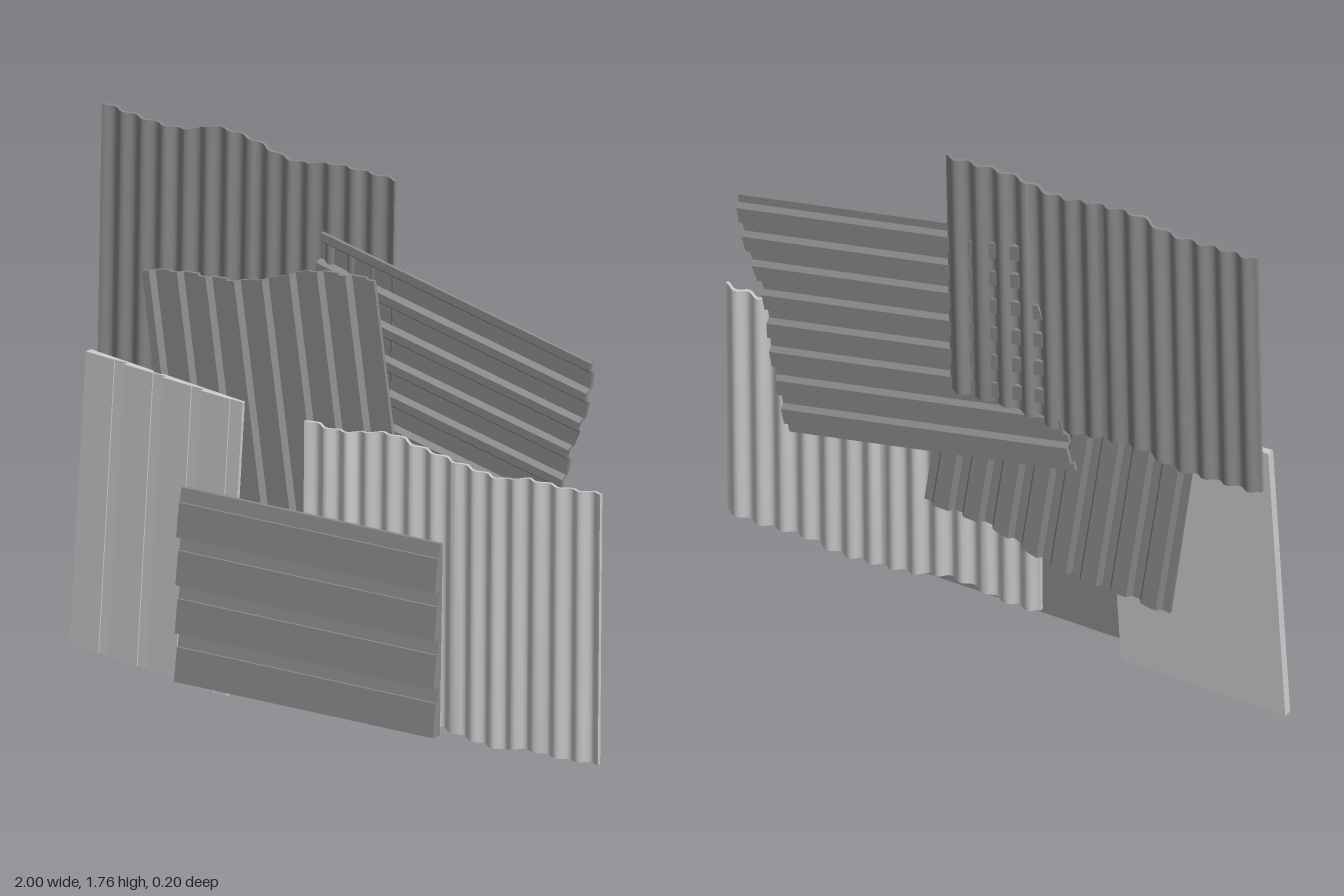
import * as THREE from 'three';
import { toCreasedNormals } from 'three/addons/utils/BufferGeometryUtils.js';

const dark = new THREE.MeshStandardMaterial({ color: 0x8a8a8a, side: THREE.DoubleSide });
const light = new THREE.MeshStandardMaterial({ color: 0xcccccc, side: THREE.DoubleSide });

// Round corrugation with a slight sag over the whole sheet
function waveProfile(width, waves, amplitude) {
  const points = [], steps = waves * 8;
  for (let i = 0; i <= steps; i++) {
    const t = i / steps;
    points.push([(t - 0.5) * width,
      amplitude * Math.cos(t * waves * Math.PI * 2) + 0.006 * Math.sin(t * 11)]);
  }
  return points;
}

// Flat sheet with trapezoid ribs
function ribProfile(width, ribs, height) {
  const points = [], pitch = width / (ribs + 0.3);
  for (let i = 0; i <= ribs; i++) {
    const x = i * pitch - width / 2;
    points.push([x, height / 2], [x + 0.26 * pitch, height / 2]);
    if (i < ribs) points.push([x + 0.38 * pitch, -height / 2], [x + 0.88 * pitch, -height / 2]);
  }
  return points;
}

// Thin sheet: profile swept along y, with ends shifted by an uneven curve
function sheetGeometry(profile, width, length, shifts) {
  const thick = 0.006;
  const outline = [
    ...profile.map(([x, z]) => new THREE.Vector2(x, -z - thick)),
    ...profile.slice().reverse().map(([x, z]) => new THREE.Vector2(x, -z + thick)),
  ];
  const geo = new THREE.ExtrudeGeometry(new THREE.Shape(outline), { depth: length, bevelEnabled: false });
  geo.rotateX(-Math.PI / 2).translate(0, -length / 2, 0);
  const curve = new THREE.SplineCurve(shifts.map(([t, d]) => new THREE.Vector2(t, d)));
  const samples = curve.getPoints(80);
  const pos = geo.attributes.position;
  for (let i = 0; i < pos.count; i++) {
    const t = THREE.MathUtils.clamp(pos.getX(i) / width + 0.5, 0, 1);
    let k = samples.findIndex((p) => p.x >= t);
    if (k < 0) k = samples.length - 1;
    const b = samples[k], a = samples[Math.max(k - 1, 0)];
    const f = b.x > a.x ? (t - a.x) / (b.x - a.x) : 0;
    pos.setY(i, pos.getY(i) + a.y + (b.y - a.y) * f);
  }
  return toCreasedNormals(geo, 0.7);
}

// Lapped boards: stepped front, flat back, boards running along x
function sidingGeometry(length, height, boards, step, back) {
  const pitch = height / boards;
  const outline = [new THREE.Vector2(-back, 0)];
  for (let i = 0; i < boards; i++) {
    const y = i * pitch;
    outline.push(
      new THREE.Vector2(step, y),
      new THREE.Vector2(step * 0.5, y + pitch * 0.7),
      new THREE.Vector2(step * 0.35, y + pitch * 0.71),
      new THREE.Vector2(0, y + pitch * 0.995),
    );
  }
  outline.push(new THREE.Vector2(-back, height));
  const geo = new THREE.ExtrudeGeometry(new THREE.Shape(outline), { depth: length, bevelEnabled: false });
  return geo.rotateY(-Math.PI / 2).translate(length / 2, -height / 2, 0);
}

export function createModel() {
  const group = new THREE.Group();
  const add = (name, geo, material, [x, y, z], rx, ry, rz) => {
    const mesh = new THREE.Mesh(geo, material);
    mesh.name = name;
    mesh.position.set(x, y, z);
    mesh.rotation.set(rx, ry, rz, 'YXZ');
    group.add(mesh);
  };

  // Corrugated sheets
  add('upperCorrugatedSheet', sheetGeometry(waveProfile(1.11, 14, 0.009), 1.11, 0.865,
    [[0, 0.01], [0.25, -0.008], [0.38, 0.024], [0.5, 0.015], [0.65, -0.016], [0.8, 0.005], [1, 0]]),
  dark, [-0.39, 1.31, -0.083], 0, 0, -0.02);
  add('lowerCorrugatedSheet', sheetGeometry(waveProfile(1.105, 14, 0.01), 1.105, 0.855,
    [[0, 0.02], [0.12, 0.01], [0.28, 0.033], [0.4, 0.005], [0.64, -0.03], [0.75, -0.014], [0.88, -0.02], [1, -0.013]]),
  light, [0.445, 0.49, -0.012], -0.02, 0.02, 0.005);

  // Ribbed sheets
  add('slantedRibbedSheet', sheetGeometry(ribProfile(0.84, 8, 0.018), 0.84, 1.036,
    [[0, 0], [0.2, 0.006], [0.36, -0.018], [0.5, -0.018], [0.65, -0.002], [1, 0]]),
  dark, [0.322, 1.0, -0.076], 0, 0.02, -Math.PI / 2 - 0.22);
  add('uprightRibbedSheet', sheetGeometry(ribProfile(0.87, 8, 0.018), 0.87, 1.04,
    [[0, 0], [0.15, 0], [0.38, -0.02], [0.55, -0.007], [0.7, 0.02], [0.85, 0.014], [1, 0]]),
  dark, [-0.224, 0.84, -0.028], 0, 0.043, 0.142);

  // Lapped board panels
  add('frontSiding', sidingGeometry(0.96, 0.61, 4, 0.026, 0.012),
    dark, [-0.054, 0.35, 0.052], -0.02, 0.035, -0.003);
  add('leaningSiding', sidingGeometry(0.95, 0.61, 4, 0.016, 0.01),
    light, [-0.665, 0.502, 0.008], 0, -0.05, -Math.PI / 2 - 0.067);

  return group;
}
